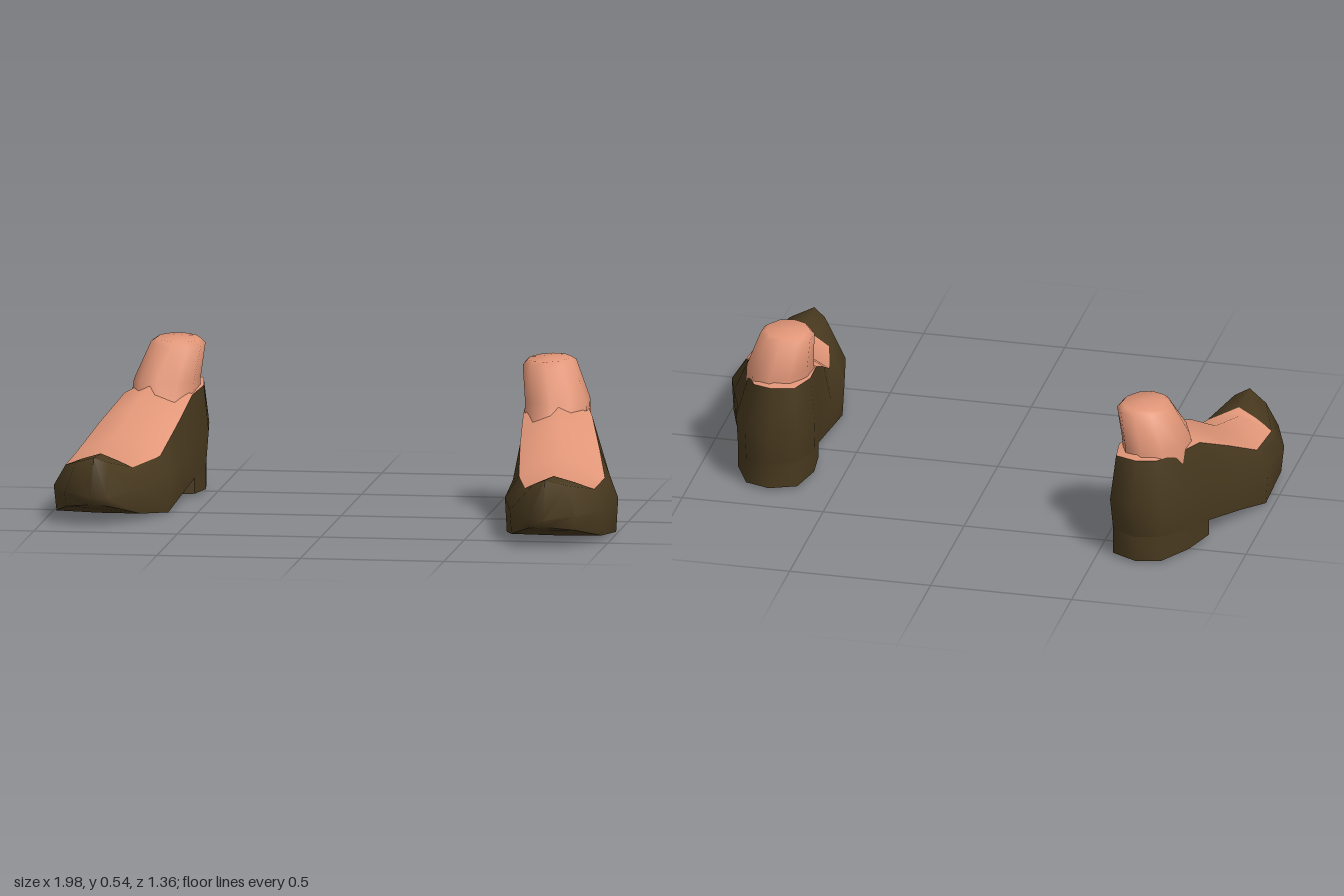
import * as THREE from 'three';
import { toCreasedNormals } from 'three/addons/utils/BufferGeometryUtils.js';

const leather = new THREE.MeshStandardMaterial({ color: 0x48391f });
leather.name = 'brown leather';
const skin = new THREE.MeshStandardMaterial({ color: 0xe19678 });
skin.name = 'skin';

// One column per outline point, heel back -> outer side -> toe -> inner side.
// [outline x, z, widest y, sole y,  rim x, y, z]
const COLUMNS = [
  [0.72, -0.395, 0.22, 0.10, 0.72, 0.385, -0.365],
  [0.81, -0.365, 0.22, 0.10, 0.785, 0.38, -0.335],
  [0.87, -0.24, 0.21, 0.09, 0.825, 0.37, -0.24],
  [0.90, -0.10, 0.19, 0.065, 0.862, 0.355, -0.09],
  [0.955, 0.08, 0.15, 0.035, 0.91, 0.275, 0.08],
  [1.00, 0.24, 0.12, 0.00, 0.955, 0.19, 0.25],
  [0.98, 0.47, 0.11, 0.02, 0.945, 0.178, 0.44],
  [0.905, 0.63, 0.11, 0.06, 0.875, 0.21, 0.585],
  [0.80, 0.68, 0.10, 0.075, 0.80, 0.235, 0.63],
  [0.745, 0.668, 0.10, 0.07, 0.755, 0.215, 0.60],
  [0.66, 0.51, 0.11, 0.025, 0.705, 0.178, 0.45],
  [0.612, 0.29, 0.12, 0.00, 0.655, 0.19, 0.25],
  [0.61, 0.08, 0.15, 0.035, 0.635, 0.275, 0.08],
  [0.608, -0.10, 0.19, 0.065, 0.622, 0.355, -0.09],
  [0.595, -0.22, 0.21, 0.09, 0.612, 0.37, -0.22],
  [0.625, -0.355, 0.22, 0.10, 0.64, 0.38, -0.335],
];
// Front edge of the opening, where the toe cap ends
const TOE_EDGE = { 7: [0.88, 0.205, 0.465], 8: [0.81, 0.228, 0.485], 9: [0.76, 0.205, 0.465] };
// Height of the foot's ridge at each pair of columns, heel to toe
const RIDGE = [0.385, 0.39, 0.40, 0.42, 0.355, 0.26, 0.215, 0.215, 0.228];

// Skin a grid of points; rows run upward or forward
function loft(rows, closed) {
  const n = rows[0].length, pos = rows.flat(2), index = [];
  const v = (k) => new THREE.Vector3().fromArray(pos, k * 3);
  const tri = (a, b, c) => {
    if (new THREE.Triangle(v(a), v(b), v(c)).getArea() > 1e-7) index.push(a, b, c);
  };
  for (let j = 0; j < rows.length - 1; j++) {
    for (let i = 0; i < (closed ? n : n - 1); i++) {
      const a = j * n + i, b = j * n + (i + 1) % n;
      tri(a, a + n, b);
      tri(b, a + n, b + n);
    }
  }
  const geo = new THREE.BufferGeometry();
  geo.setAttribute('position', new THREE.Float32BufferAttribute(pos, 3));
  geo.setIndex(index);
  return geo;
}

// Strips across the shoe between opposite columns, with a middle point
function across(ring, midY) {
  return Array.from({ length: 9 }, (_, i) => {
    const p = ring[i], q = ring[(16 - i) % 16];
    return [p, [(p[0] + q[0]) / 2, midY(i, p), (p[2] + q[2]) / 2], q];
  });
}

function oval(cx, y, cz, rx, rz, tilt = 0) {
  return Array.from({ length: 10 }, (_, k) => {
    const t = (k / 10) * Math.PI * 2;
    return [cx + rx * Math.sin(t), y + tilt * (Math.sin(t) + Math.cos(t)), cz - rz * Math.cos(t)];
  });
}

function createFoot(name, matrix, mirrored) {
  const foot = new THREE.Group();
  foot.name = name;
  const add = (part, geo, material, crease) => {
    geo.applyMatrix4(matrix);
    if (mirrored) geo.setIndex(Array.from(geo.index.array).reverse());
    const mesh = new THREE.Mesh(toCreasedNormals(geo, crease), material);
    mesh.name = part;
    foot.add(mesh);
  };

  const sole = COLUMNS.map((c) => [0.78 + (c[0] - 0.78) * 0.965, c[3], 0.14 + (c[1] - 0.14) * 0.965]);
  const side = COLUMNS.map((c) => [c[0], c[2], c[1]]);
  const rim = COLUMNS.map((c) => c.slice(4));
  const opening = rim.map((p, i) => TOE_EDGE[i] || p);

  // Shoe
  add('shoeUpper', loft([sole, side, rim, opening], true), leather, 1.2);
  add('shoeSole', loft(across(sole, (i, p) => p[1])), leather, 1.0);

  // Heel block follows the back of the sole
  const heelTop = [13, 14, 15, 0, 1, 2, 3].map((i) => [...sole[i]]);
  heelTop.push([0.84, 0.065, -0.075], [0.75, 0.065, -0.062], [0.65, 0.065, -0.075]);
  const heelBase = heelTop.map(([x, , z]) => [x, 0.01, z]);
  const heelCentre = heelTop.map(() => [0.74, 0.01, -0.2]);
  add('shoeHeel', loft([heelCentre, heelBase, heelTop], true), leather, 1.0);

  // Foot
  const instep = across(opening, (i) => RIDGE[i]).map((row) => row.reverse());
  add('instep', loft(instep), skin, 1.2);
  add('ankle', loft([
    oval(0.735, 0.30, -0.15, 0.115, 0.195),
    oval(0.73, 0.40, -0.172, 0.112, 0.163),
    oval(0.698, 0.522, -0.2, 0.093, 0.112, 0.006),
    oval(0.697, 0.537, -0.2, 0.075, 0.092, 0.003),
    oval(0.697, 0.54, -0.2, 0, 0),
  ], true), skin, 1.2);
  return foot;
}

export function createModel() {
  const model = new THREE.Group();
  model.name = 'pairOfFeet';
  // Right foot: mirrored, set further back and turned out a little more
  const right = new THREE.Matrix4().makeTranslation(-0.64, 0, -0.68)
    .multiply(new THREE.Matrix4().makeRotationY(-0.093))
    .multiply(new THREE.Matrix4().makeScale(-1, 1, 1))
    .multiply(new THREE.Matrix4().makeTranslation(-0.72, 0, 0.395));
  model.add(
    createFoot('leftFoot', new THREE.Matrix4(), false),
    createFoot('rightFoot', right, true),
  );
  return model;
}
